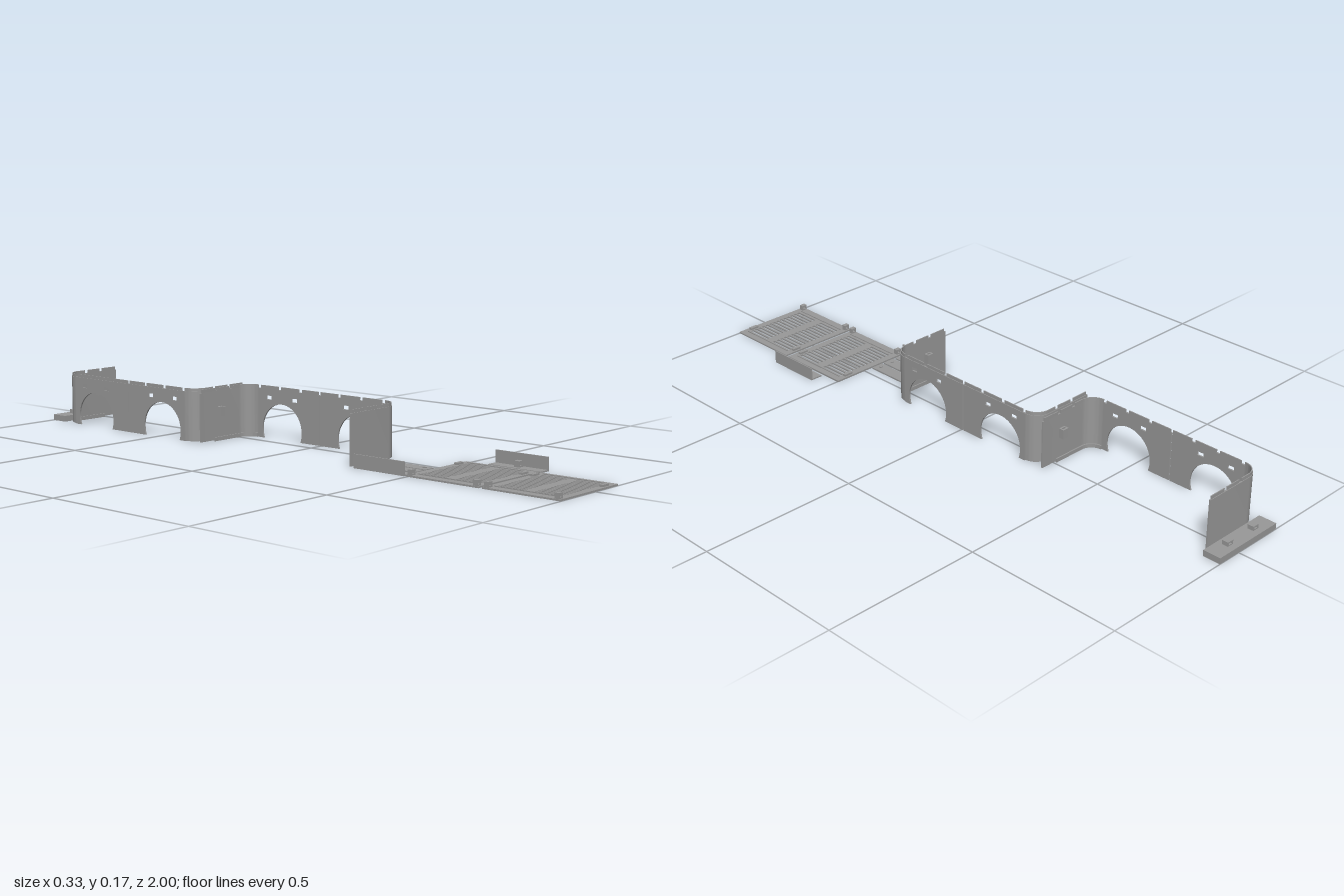
import * as THREE from 'three';
import { toCreasedNormals } from 'three/addons/utils/BufferGeometryUtils.js';

const W = 0.1075, L = 0.303, R = 0.048, T = 0.005, H = 0.155, TAB = 0.01;

export function createModel() {
  const model = new THREE.Group();
  const grey = new THREE.MeshStandardMaterial({ color: 0x999999 });

  const add = (parent, name, geo) => {
    const mesh = new THREE.Mesh(geo, grey);
    mesh.name = name;
    parent.add(mesh);
    return mesh;
  };
  // box given by its limits on each axis
  const box = (parent, name, x0, x1, y0, y1, z0, z1) => {
    const geo = new THREE.BoxGeometry(x1 - x0, y1 - y0, z1 - z0);
    return add(parent, name, geo.translate((x0 + x1) / 2, (y0 + y1) / 2, (z0 + z1) / 2));
  };
  const rect = (path, x0, y0, x1, y1) =>
    path.moveTo(x0, y0).lineTo(x1, y0).lineTo(x1, y1).lineTo(x0, y1).closePath();
  const extrude = (shape, depth) => toCreasedNormals(
    new THREE.ExtrudeGeometry(shape, { depth, bevelEnabled: false, curveSegments: 16 }), 0.5);
  // shape drawn in (x, z), raised from y0 to y1
  const rise = (shape, y0, y1) => extrude(shape, y1 - y0).rotateX(Math.PI / 2).translate(0, y1, 0);

  // block with an opening through it along z
  const clip = (parent, name, w, h, d) => {
    const shape = rect(new THREE.Shape(), -w / 2, 0, w / 2, h);
    shape.holes.push(rect(new THREE.Path(), -w * 0.3, h * 0.25, w * 0.3, h * 0.65));
    return add(parent, name, extrude(shape, d).translate(0, 0, -d / 2));
  };

  // end wall and rounded corner in plan, between two offsets from the outer face
  const cornerPlan = (s, xStart, a, b) => {
    const shape = new THREE.Shape();
    const cx = W - R, cz = L - R, n = 12;
    shape.moveTo(xStart, s * (L - a));
    for (let i = 0; i <= n; i++) {
      const t = Math.PI / 2 * (1 - i / n);
      shape.lineTo(cx + (R - a) * Math.cos(t), s * (cz + (R - a) * Math.sin(t)));
    }
    for (let i = 0; i <= n; i++) {
      const t = Math.PI / 2 * i / n;
      shape.lineTo(cx + (R - b) * Math.cos(t), s * (cz + (R - b) * Math.sin(t)));
    }
    shape.lineTo(xStart, s * (L - b));
    return shape.closePath();
  };

  // half of a C-shaped housing, s picks the front or back half
  const housingHalf = (s) => {
    const half = new THREE.Group();
    half.name = s > 0 ? 'frontHalf' : 'backHalf';
    add(half, 'endWall', rise(cornerPlan(s, -W, 0, T), 0.003, H));

    // side wall with an arch and two slots
    const ac = 0.155, ay = 0.029, ar = 0.082, a0 = Math.asin(ay / ar);
    const side = new THREE.Shape();
    side.moveTo(s * 0.002, 0);
    for (let i = 0; i <= 32; i++) {
      const t = Math.PI + a0 - (Math.PI + 2 * a0) * i / 32;
      side.lineTo(s * (ac + ar * Math.cos(t)), ay + ar * Math.sin(t));
    }
    side.lineTo(s * (L - R), 0).lineTo(s * (L - R), H).lineTo(s * 0.002, H).closePath();
    for (const z of [0.104, 0.21]) {
      side.holes.push(rect(new THREE.Path(), s * z - 0.011, 0.122, s * z + 0.011, 0.134));
    }
    add(half, 'archedSideWall', extrude(side, T).rotateY(-Math.PI / 2).translate(W, 0, 0));

    // thinner locating tabs along the top edge
    const i0 = 0.002;
    for (const [x0, x1] of [[-W + 0.005, -0.046], [-0.034, 0.017]]) {
      const z0 = s * (L - T), z1 = s * (L - i0);
      box(half, 'topTab', x0, x1, H, H + TAB, Math.min(z0, z1), Math.max(z0, z1));
    }
    add(half, 'cornerTab', rise(cornerPlan(s, 0.029, i0, T), H, H + TAB));
    for (const [z0, z1] of [[0.004, 0.072], [0.084, 0.158], [0.17, 0.243]]) {
      box(half, 'topTab', W - T, W - i0, H, H + TAB, s > 0 ? z0 : -z1, s > 0 ? z1 : -z0);
    }

    // inner rim at the foot
    add(half, 'footRim', rise(cornerPlan(s, -0.05, T, T + 0.004), 0, 0.012));
    // clip on the inside of the end wall
    const lug = clip(half, 'wallClip', 0.022, 0.017, 0.03);
    lug.rotation.x = -s * Math.PI / 2;
    lug.position.set(-0.0275, 0.092, s * (L - T));
    return half;
  };
  const housing = (name, z, turn) => {
    const g = new THREE.Group();
    g.name = name;
    g.add(housingHalf(1), housingHalf(-1));
    g.position.set(-0.0575, 0, z);
    g.rotation.y = turn;
    model.add(g);
  };
  housing('frontHousing', -0.006, 0);
  housing('backHousing', -0.63, Math.PI);

  // vent panels with two rows of slots and corner clips
  const ventPanel = (name, z0) => {
    const g = new THREE.Group();
    g.name = name;
    const d = 0.246;
    const plate = rect(new THREE.Shape(), -0.165, z0, 0.112, z0 + d);
    for (const r of [0.022, 0.138]) {
      for (let i = 0; i < 14; i++) {
        const x = -0.127 + i * 0.0153;
        plate.holes.push(rect(new THREE.Path(), x, z0 + r, x + 0.009, z0 + r + 0.086));
      }
    }
    add(g, 'slottedPlate', rise(plate, 0, 0.005));
    for (const z of [z0 + 0.012, z0 + d - 0.012]) {
      clip(g, 'cornerClip', 0.018, 0.016, 0.014).position.set(-0.155, 0.005, z);
      box(g, 'lowTab', 0.046, 0.076, 0.005, 0.011, z - 0.006, z + 0.006);
    }
    for (const x of [-0.138, 0.09]) {
      box(g, 'edgeRib', x - 0.0015, x + 0.0015, 0.005, 0.008, z0 + 0.02, z0 + d - 0.02);
    }
    model.add(g);
  };
  ventPanel('backVentPanel', 0.496);
  ventPanel('frontVentPanel', 0.754);

  // L brackets with an upright wall on the outer edge
  const bracket = (name, x0, x1, z0, z1, wallX, clipX) => {
    const g = new THREE.Group();
    g.name = name;
    box(g, 'bracketFloor', x0, x1, 0, 0.004, z0, z1);
    box(g, 'bracketWall', wallX, wallX + 0.004, 0.004, 0.041, z0, z1);
    clip(g, 'bracketClip', 0.019, 0.018, 0.018).position.set(clipX, 0.004, (z0 + z1) / 2);
    model.add(g);
  };
  bracket('leftBracket', 0.123, 0.163, 0.565, 0.745, 0.159, 0.144);
  bracket('rightBracket', -0.165, -0.127, 0.307, 0.489, -0.165, -0.147);

  // two flat cover strips with small studs at the ends
  for (const x of [-0.118, -0.069]) {
    box(model, 'coverStrip', x, x + 0.041, 0, 0.005, 0.342, 0.489);
    for (const z of [0.36, 0.471]) {
      box(model, 'stripStud', x + 0.016, x + 0.025, 0.005, 0.008, z - 0.004, z + 0.004);
    }
  }

  // end cap, open underneath with lengthwise ribs
  const cap = new THREE.Group();
  cap.name = 'endCap';
  box(cap, 'capTop', -0.165, 0.08, 0.015, 0.019, -1, -0.943);
  for (let i = 0; i < 5; i++) {
    const z = -1 + i * 0.0135;
    box(cap, 'capRib', -0.165, 0.08, 0, 0.015, z, z + 0.003);
  }
  for (const x of [-0.165, 0.077]) box(cap, 'capEnd', x, x + 0.003, 0, 0.015, -1, -0.943);
  for (const x of [-0.1, 0.011]) {
    clip(cap, 'capClip', 0.022, 0.013, 0.02).position.set(x, 0.019, -0.97);
  }
  model.add(cap);

  return model;
}
